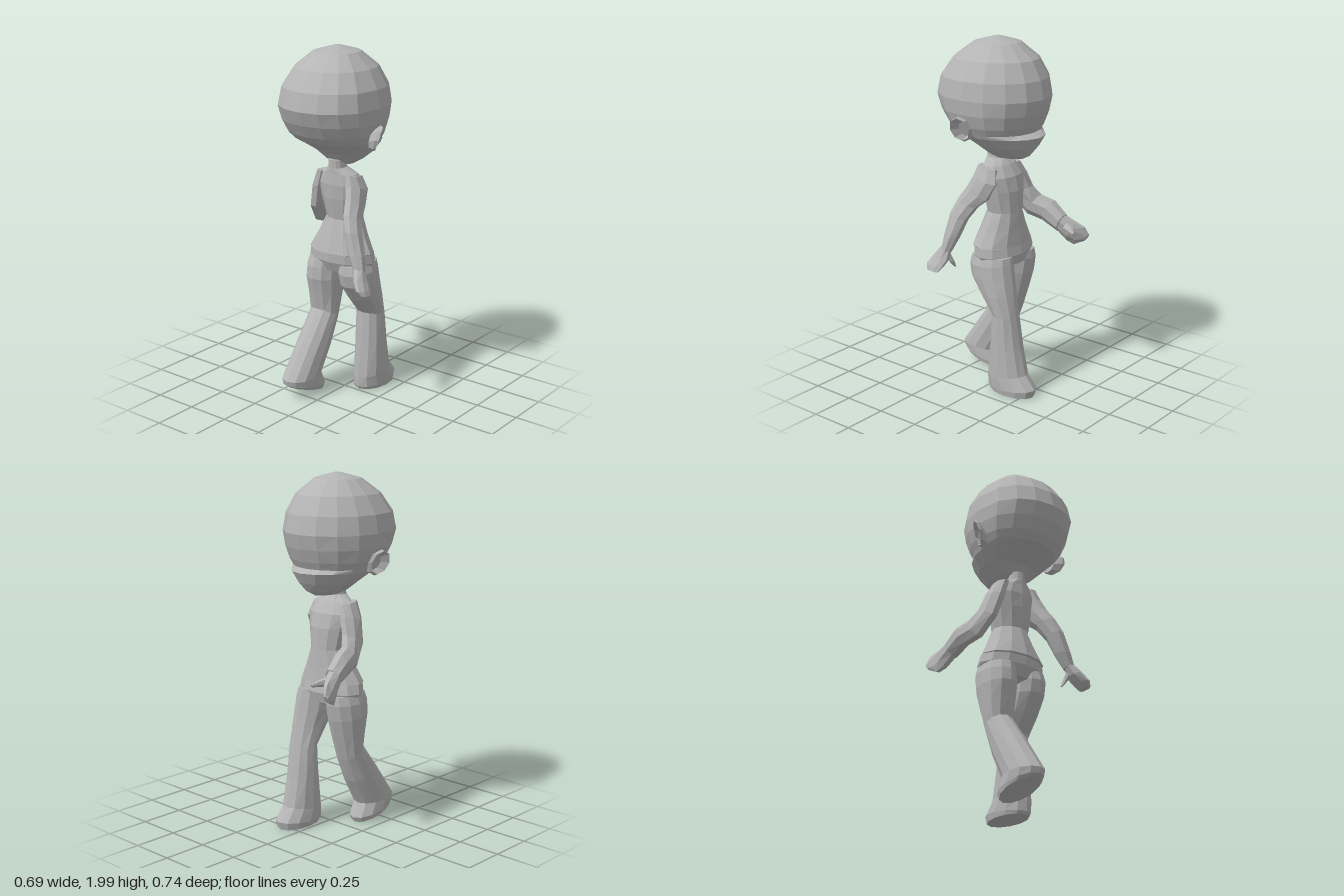
import * as THREE from 'three';

const V = (x, y, z) => new THREE.Vector3(x, y, z);

export function createModel() {
  const model = new THREE.Group();
  const grey = new THREE.MeshStandardMaterial({ color: 0xb4b4b4 });
  grey.name = 'plain grey';

  // Faceted skin over a list of point rings, closed at both ends
  function skin(name, rings, parent = model) {
    const n = rings[0].length, tris = [];
    const mid = r => r.reduce((s, p) => s.add(p), V(0, 0, 0)).divideScalar(n);
    const first = mid(rings[0]), last = mid(rings[rings.length - 1]);
    rings.forEach((r, i) => {
      for (let j = 0; j < n; j++) {
        const k = (j + 1) % n, next = rings[i + 1];
        if (i === 0) tris.push([first, r[k], r[j]]);
        if (!next) { tris.push([last, r[j], r[k]]); continue; }
        if ((i + j) % 2) tris.push([r[j], r[k], next[j]], [r[k], next[k], next[j]]);
        else tris.push([r[j], r[k], next[k]], [r[j], next[k], next[j]]);
      }
    });
    // turn the skin outwards whichever way the rings run
    const volume = tris.reduce((s, [a, b, c]) => s + a.dot(V(0, 0, 0).crossVectors(b, c)), 0);
    const pts = tris.flatMap(([a, b, c]) => (volume > 0 ? [a, b, c] : [a, c, b]));
    const geo = new THREE.BufferGeometry().setFromPoints(pts);
    geo.computeVertexNormals();
    const mesh = new THREE.Mesh(geo, grey);
    mesh.name = name;
    parent.add(mesh);
  }

  // Section: centre x, half width, rear z and y, front z and y.
  // Eight-sided sections are turned to lie flat and grown to keep their full width.
  const oval = ([x, w, zb, yb, zf, yf], n) =>
    Array.from({ length: n }, (_, j) => {
      const turn = n === 8 ? 0.5 : 0, grow = n === 8 ? 1.08 : 1;
      const a = (j + turn) / n * Math.PI * 2, s = grow * Math.sin(a) / 2;
      return V(x + grow * w * Math.cos(a), (yb + yf) / 2 + (yb - yf) * s, (zb + zf) / 2 + (zb - zf) * s);
    });
  const loft = (name, sections, n = 8, parent = model) =>
    skin(name, sections.map(s => oval(s, n)), parent);
  const level = rows => rows.map(([y, x, w, zb, zf]) => [x, w, zb, y, zf, y]);

  // Head: height, half width, rear z, front z and how far the jaw juts out;
  // the rear half is fuller than an ellipse
  skin('head', [
    [2.0, 0.02, 0.06, 0.02, 0], [1.97, 0.125, 0.17, -0.09, 0],
    [1.89, 0.215, 0.28, -0.195, 0], [1.79, 0.272, 0.35, -0.25, 0],
    [1.69, 0.287, 0.373, -0.27, 0], [1.61, 0.28, 0.34, -0.25, 0],
    [1.54, 0.258, 0.295, -0.222, 0], [1.5, 0.235, 0.255, -0.2, 0],
    [1.48, 0.222, 0.215, -0.193, 0.055], [1.42, 0.165, 0.115, -0.165, 0.05],
    [1.37, 0.10, 0.07, -0.12, 0.06], [1.345, 0.055, 0.03, -0.08, 0.05],
  ].map(([y, w, zb, zf, jut]) => Array.from({ length: 16 }, (_, j) => {
    const a = j / 16 * Math.PI * 2, s = Math.sin(a);
    const rear = Math.max(0, s) ** 0.75, front = Math.max(0, -s);
    return V(-0.015 + w * Math.cos(a), y,
      (zb + zf) / 2 + (zb - zf) / 2 * (rear - front) - jut * front ** 2.5);
  })));

  // Cupped ears, flaring outwards at the top and rear
  for (const side of [1, -1]) {
    const ring = (x, y, z, ry, rz, flare) => Array.from({ length: 8 }, (_, j) => {
      const a = j / 8 * Math.PI * 2, c = Math.cos(a), s = Math.sin(a);
      return V(-0.015 + side * (x + flare * (c + s) / 2), y + ry * c, z + rz * s);
    });
    skin(side > 0 ? 'leftEar' : 'rightEar', [
      ring(0.24, 1.52, 0.06, 0.05, 0.035, 0.02), ring(0.28, 1.535, 0.063, 0.074, 0.05, 0.05),
      ring(0.297, 1.535, 0.065, 0.066, 0.044, 0.05), ring(0.265, 1.535, 0.055, 0.042, 0.026, 0.03),
    ]);
  }

  // Neck, upper body, hem and hips
  loft('torso', level([
    [1.38, -0.012, 0.045, 0.10, 0.0], [1.335, -0.012, 0.05, 0.10, -0.01],
    [1.30, -0.012, 0.115, 0.1, -0.045], [1.24, -0.012, 0.15, 0.105, -0.085],
    [1.16, -0.01, 0.132, 0.1, -0.105], [1.04, -0.008, 0.106, 0.08, -0.11],
    [0.94, -0.01, 0.152, 0.115, -0.115], [0.855, -0.012, 0.2, 0.142, -0.122],
    [0.85, -0.012, 0.2, 0.13, -0.122], [0.80, -0.015, 0.208, 0.128, -0.132],
    [0.74, -0.015, 0.175, 0.1, -0.115], [0.72, -0.015, 0.09, 0.05, -0.07],
  ]), 12);

  // Flared legs in mid stride: left one forward, right one trailing
  loft('leftLeg', [
    [0.09, 0.092, 0.12, 0.79, -0.13, 0.80], [0.095, 0.1, 0.13, 0.74, -0.137, 0.76],
    [0.098, 0.1, 0.115, 0.67, -0.15, 0.68],
    [0.103, 0.093, 0.05, 0.58, -0.165, 0.59], [0.103, 0.083, -0.035, 0.48, -0.185, 0.46],
    [0.103, 0.088, -0.02, 0.28, -0.215, 0.28], [0.102, 0.092, 0.0, 0.09, -0.25, 0.13],
    [0.1, 0.094, 0.0, 0.03, -0.312, 0.055], [0.1, 0.088, -0.01, 0.015, -0.30, 0.01],
  ], 12);
  loft('rightLeg', [
    [-0.115, 0.095, 0.12, 0.80, -0.12, 0.79], [-0.122, 0.102, 0.135, 0.75, -0.125, 0.74],
    [-0.123, 0.104, 0.14, 0.68, -0.11, 0.65],
    [-0.122, 0.095, 0.12, 0.59, -0.08, 0.55], [-0.12, 0.084, 0.1, 0.49, -0.035, 0.41],
    [-0.122, 0.09, 0.225, 0.33, 0.02, 0.27], [-0.125, 0.093, 0.368, 0.13, 0.1, 0.12],
    [-0.125, 0.092, 0.362, 0.10, 0.06, 0.04], [-0.125, 0.086, 0.34, 0.085, 0.075, 0.01],
  ], 12);

  // Left arm swings back
  const leftArm = new THREE.Group();
  leftArm.name = 'leftArm';
  loft('leftSleeve', [
    [0.085, 0.035, 0.085, 1.305, -0.03, 1.285], [0.105, 0.046, 0.1, 1.245, -0.05, 1.21],
    [0.125, 0.046, 0.13, 1.18, 0.0, 1.12], [0.148, 0.044, 0.175, 1.11, 0.06, 1.07],
    [0.18, 0.046, 0.205, 1.03, 0.105, 1.0], [0.22, 0.046, 0.218, 0.91, 0.135, 0.9],
    [0.25, 0.034, 0.22, 0.83, 0.165, 0.82],
  ], 8, leftArm);
  loft('leftPalm', [
    [0.25, 0.03, 0.225, 0.84, 0.165, 0.83], [0.275, 0.03, 0.26, 0.79, 0.165, 0.775],
    [0.307, 0.024, 0.283, 0.745, 0.18, 0.735], [0.327, 0.014, 0.27, 0.717, 0.195, 0.71],
  ], 8, leftArm);
  loft('leftThumb', [
    [0.255, 0.022, 0.21, 0.81, 0.165, 0.80], [0.24, 0.016, 0.19, 0.765, 0.15, 0.76],
    [0.222, 0.006, 0.17, 0.727, 0.15, 0.725],
  ], 6, leftArm);
  model.add(leftArm);

  // Right arm reaches ahead
  const rightArm = new THREE.Group();
  rightArm.name = 'rightArm';
  loft('rightSleeve', [
    [-0.11, 0.035, 0.085, 1.305, -0.03, 1.295], [-0.14, 0.045, 0.085, 1.21, -0.05, 1.23],
    [-0.175, 0.045, 0.06, 1.08, -0.07, 1.14], [-0.21, 0.048, -0.03, 0.97, -0.105, 1.085],
    [-0.233, 0.05, -0.12, 0.945, -0.18, 1.06], [-0.243, 0.046, -0.22, 0.895, -0.255, 0.99],
  ], 8, rightArm);
  loft('rightPalm', [
    [-0.248, 0.042, -0.21, 0.90, -0.25, 0.985], [-0.272, 0.035, -0.26, 0.84, -0.31, 0.95],
    [-0.295, 0.024, -0.29, 0.815, -0.35, 0.925], [-0.313, 0.013, -0.345, 0.84, -0.372, 0.88],
  ], 8, rightArm);
  loft('rightThumb', [
    [-0.24, 0.028, -0.25, 0.90, -0.28, 0.955], [-0.218, 0.018, -0.295, 0.90, -0.32, 0.94],
    [-0.195, 0.006, -0.345, 0.905, -0.355, 0.92],
  ], 6, rightArm);
  model.add(rightArm);

  return model;
}
